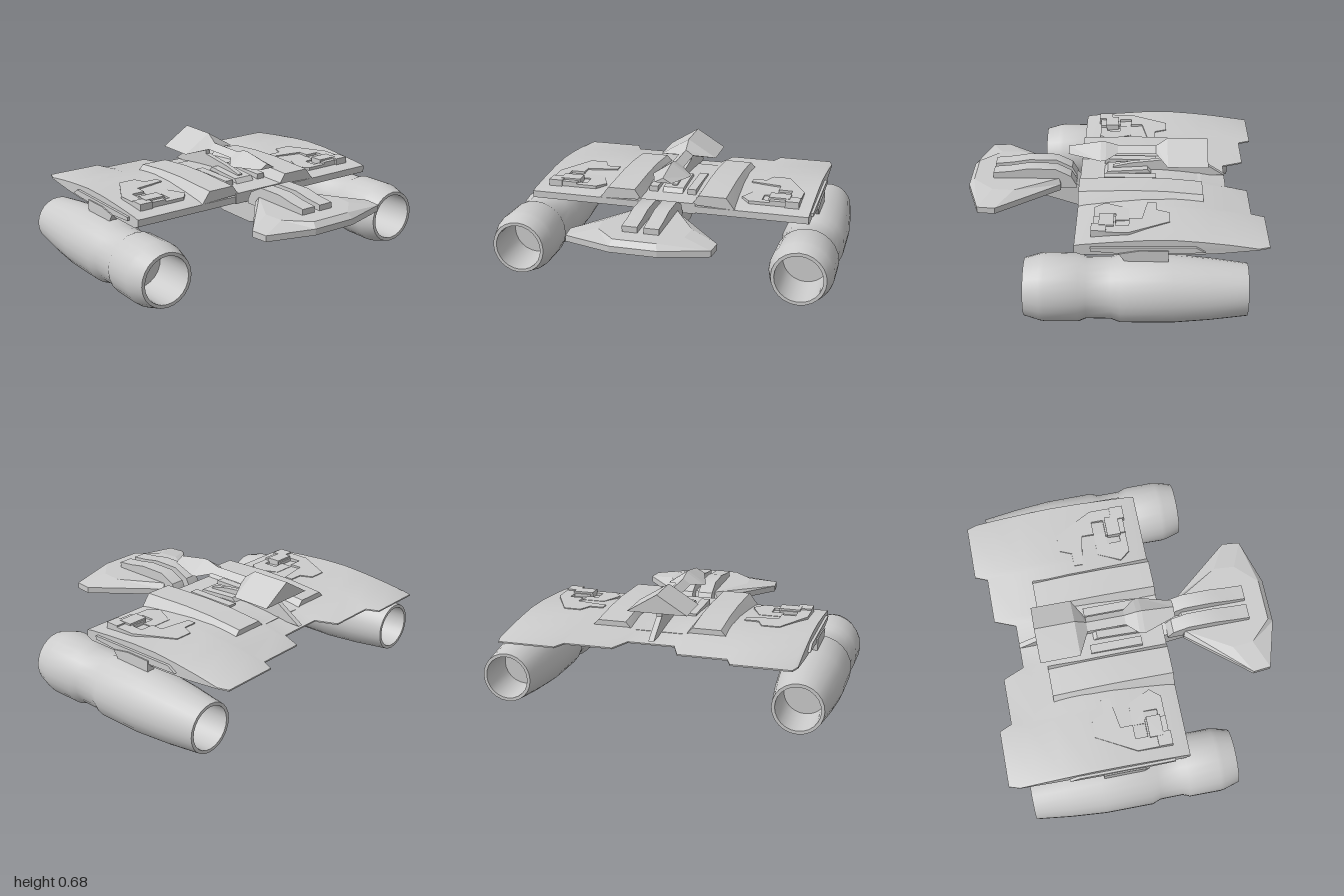
import * as THREE from 'three';
import { toCreasedNormals } from 'three/addons/utils/BufferGeometryUtils.js';

const grey = new THREE.MeshStandardMaterial({ color: 0xcccccc });

function part(name, geometry, parent, crease = 0.5) {
  const mesh = new THREE.Mesh(toCreasedNormals(geometry, crease), grey);
  mesh.name = name;
  parent.add(mesh);
  return mesh;
}

// Closed solid through equal-length rings of [x, y, z], wound outwards
function loft(rings) {
  const n = rings[0].length, tris = [];
  for (let i = 0; i + 1 < rings.length; i++) {
    for (let j = 0; j < n; j++) {
      const k = (j + 1) % n, a = rings[i], b = rings[i + 1];
      tris.push([a[j], a[k], b[k]], [a[j], b[k], b[j]]);
    }
  }
  const first = rings[0], last = rings[rings.length - 1];
  for (let j = 1; j + 1 < n; j++) {
    tris.push([first[0], first[j + 1], first[j]], [last[0], last[j], last[j + 1]]);
  }
  let volume = 0;
  for (const [a, b, c] of tris) {
    volume += new THREE.Vector3(...a).dot(new THREE.Vector3(...b).cross(new THREE.Vector3(...c)));
  }
  if (volume < 0) tris.forEach((t) => t.reverse());
  const geometry = new THREE.BufferGeometry();
  geometry.setAttribute('position', new THREE.Float32BufferAttribute(tris.flat(2), 3));
  return geometry;
}

const shapeOf = (pts) => new THREE.Shape(pts.map(([a, b]) => new THREE.Vector2(a, b)));

// Side outline of [z, y], extruded across x around xCentre
function sideSlab(pts, width, xCentre = 0) {
  return new THREE.ExtrudeGeometry(shapeOf(pts), { depth: width, bevelEnabled: false })
    .translate(0, 0, -width / 2).rotateY(-Math.PI / 2).translate(xCentre, 0, 0);
}

// Plan outline of [x, z], extruded from y0 up to y1
function planSlab(pts, y0, y1) {
  return new THREE.ExtrudeGeometry(shapeOf(pts), { depth: y1 - y0, bevelEnabled: false })
    .rotateX(Math.PI / 2).translate(0, y1, 0);
}

const box = (x0, x1, y0, y1, z0, z1) => new THREE.BoxGeometry(x1 - x0, y1 - y0, z1 - z0)
  .translate((x0 + x1) / 2, (y0 + y1) / 2, (z0 + z1) / 2);

const mirrorOutline = (half) => [...half, ...half.slice().reverse().map(([x, z]) => [-x, z])];

function addWing(group) {
  // Airfoil section: fraction of chord from the front edge, then y
  const section = [
    [0, 0.405], [0, 0.445], [0.04, 0.452], [0.2, 0.467], [0.38, 0.48], [0.55, 0.483],
    [0.7, 0.473], [0.85, 0.458], [1, 0.438], [1, 0.43], [0.8, 0.408], [0.6, 0.395], [0.04, 0.39],
  ];
  // Spanwise stations: x, rear edge z
  const half = [[0.13, -0.65], [0.18, -0.77], [0.45, -0.77], [0.48, -0.84], [0.8, -0.84], [0.82, -0.78]];
  const stations = [...half.slice().reverse().map(([x, z]) => [-x, z]), ...half];
  const rings = stations.map(([x, rear]) => section.map(([t, y]) => [x, y, 0.185 + (rear - 0.185) * t]));
  part('wing', loft(rings), group, 0.4);

  // Raised panels either side of the centreline
  for (const s of [-1, 1]) {
    const ridge = [[0.185, 0.512], [-0.11, 0.522], [-0.3, 0.518], [-0.51, 0.5]].map(([z, top]) => [
      [s * 0.4, 0.445, z], [s * 0.35, top, z], [s * 0.19, top, z], [s * 0.15, 0.455, z],
    ]);
    part('raisedPanel', loft(ridge), group);
  }
  part('centreDeck', box(-0.17, 0.17, 0.4, 0.462, -0.51, 0.187), group);
}

function addWingDetails(group) {
  for (const s of [-1, 1]) {
    const side = new THREE.Group();
    side.name = s > 0 ? 'leftWingDetails' : 'rightWingDetails';
    const at = (pts) => pts.map(([x, z]) => [s * x, z]);
    const block = (name, x0, x1, ...rest) =>
      part(name, box(Math.min(s * x0, s * x1), Math.max(s * x0, s * x1), ...rest), side);
    // Equipment plate with a stepped recess on its inner side
    part('equipmentPlate', planSlab(at([
      [0.58, 0.09], [0.75, 0.09], [0.75, -0.1], [0.63, -0.32], [0.53, -0.32], [0.5, -0.25], [0.42, -0.25],
      [0.42, -0.2], [0.6, -0.17], [0.6, -0.1], [0.68, -0.1], [0.68, -0.03], [0.58, -0.03],
    ]), 0.43, 0.487), side);
    part('innerPlate', planSlab(at([
      [0.41, 0.03], [0.46, 0.09], [0.58, 0.09], [0.58, 0.05], [0.53, 0.05], [0.53, -0.03], [0.6, -0.03],
      [0.6, -0.1], [0.47, -0.1],
    ]), 0.43, 0.475), side);
    block('equipmentBlock', 0.57, 0.69, 0.44, 0.497, -0.02, 0.06);
    block('outerBlock', 0.67, 0.75, 0.44, 0.495, 0.02, 0.1);
    // Tip rail and the pylon that carries the engine
    part('tipRail', sideSlab([[0.1, 0.42], [0.1, 0.44], [-0.45, 0.45], [-0.5, 0.42], [-0.16, 0.4]], 0.02, s * 0.825), side);
    part('enginePylon', sideSlab([
      [-0.05, 0.41], [-0.1, 0.34], [-0.31, 0.34], [-0.31, 0.43], [-0.16, 0.43],
    ], 0.045, s * 0.82), side);
    group.add(side);
  }
}

function addEngines(group) {
  // Hollow at both ends: [radius, z]
  const profile = [
    [0, -0.5], [0.118, -0.5], [0.122, -0.73], [0.14, -0.73], [0.165, -0.53], [0.182, -0.33], [0.184, -0.06],
    [0.166, -0.01], [0.165, 0.12], [0.182, 0.16], [0.184, 0.34], [0.18, 0.365], [0.155, 0.45], [0.136, 0.45],
    [0.134, 0.18], [0, 0.18],
  ].map(([r, z]) => new THREE.Vector2(r, z));
  for (const s of [-1, 1]) {
    const geometry = new THREE.LatheGeometry(profile, 24).rotateX(Math.PI / 2).translate(s * 0.817, 0.187, 0);
    part(s > 0 ? 'leftEngine' : 'rightEngine', geometry, group, 0.6);
  }
}

function addCockpit(group) {
  // Fan-shaped nose: straight rim below, bevelled roof above
  const rim = mirrorOutline([[0.12, 0.3], [0.41, 0.65], [0.4, 0.75], [0.13, 0.83]]);
  const roof = mirrorOutline([[0.1, 0.31], [0.25, 0.56], [0.24, 0.68], [0.12, 0.8]]);
  const layer = (pts, y) => pts.map(([x, z]) => [x, y, z]);
  part('nose', loft([layer(rim, 0.397), layer(rim, 0.432), layer(roof, 0.462)]), group, 0.1);

  // Neck and keel joining the nose to the wing underside
  part('keel', sideSlab([
    [0.75, 0.4], [0.68, 0.35], [0.42, 0.35], [0.2, 0.28], [-0.05, 0.28], [-0.42, 0.395], [0.18, 0.395], [0.21, 0.42], [0.3, 0.42],
  ], 0.17), group);

  // Twin housings on the nose
  for (const s of [-1, 1]) {
    part('noseHousing', sideSlab([
      [0.69, 0.44], [0.69, 0.495], [0.59, 0.505], [0.49, 0.522], [0.33, 0.52], [0.24, 0.475], [0.21, 0.42],
      [0.21, 0.4], [0.3, 0.4],
    ], 0.085, s * 0.06), group);
  }
}

function addTopBoom(group) {
  // Roof-shaped boom: z, half width, base y, ridge y
  const rings = [
    [0.255, 0.05, 0.596, 0.624], [0.07, 0.11, 0.58, 0.655], [0.04, 0.105, 0.582, 0.653], [-0.03, 0.045, 0.6, 0.632],
    [-0.25, 0.045, 0.6, 0.632], [-0.315, 0.17, 0.575, 0.68], [-0.545, 0.17, 0.575, 0.68],
  ].map(([z, w, base, top]) => [[-w, base, z], [0, top, z], [w, base, z]]);
  part('topBoom', loft(rings), group, 0.1);

  part('boomFin', sideSlab([
    [0.0, 0.46], [0.0, 0.5], [-0.11, 0.525], [-0.32, 0.55], [-0.32, 0.585], [-0.5, 0.585], [-0.5, 0.545], [-0.65, 0.45],
  ], 0.03), group);
  part('boomPedestal', sideSlab([[0.06, 0.45], [0.03, 0.49], [-0.2, 0.505], [-0.25, 0.45]], 0.12), group);
  for (const s of [-1, 1]) {
    part('pedestalBlock', box(s * 0.115 - 0.025, s * 0.115 + 0.025, 0.45, 0.495, -0.25, 0.05), group);
  }
}

export function createModel() {
  const group = new THREE.Group();
  group.name = 'spacecraft';
  addWing(group);
  addWingDetails(group);
  addEngines(group);
  addCockpit(group);
  addTopBoom(group);
  return group;
}
